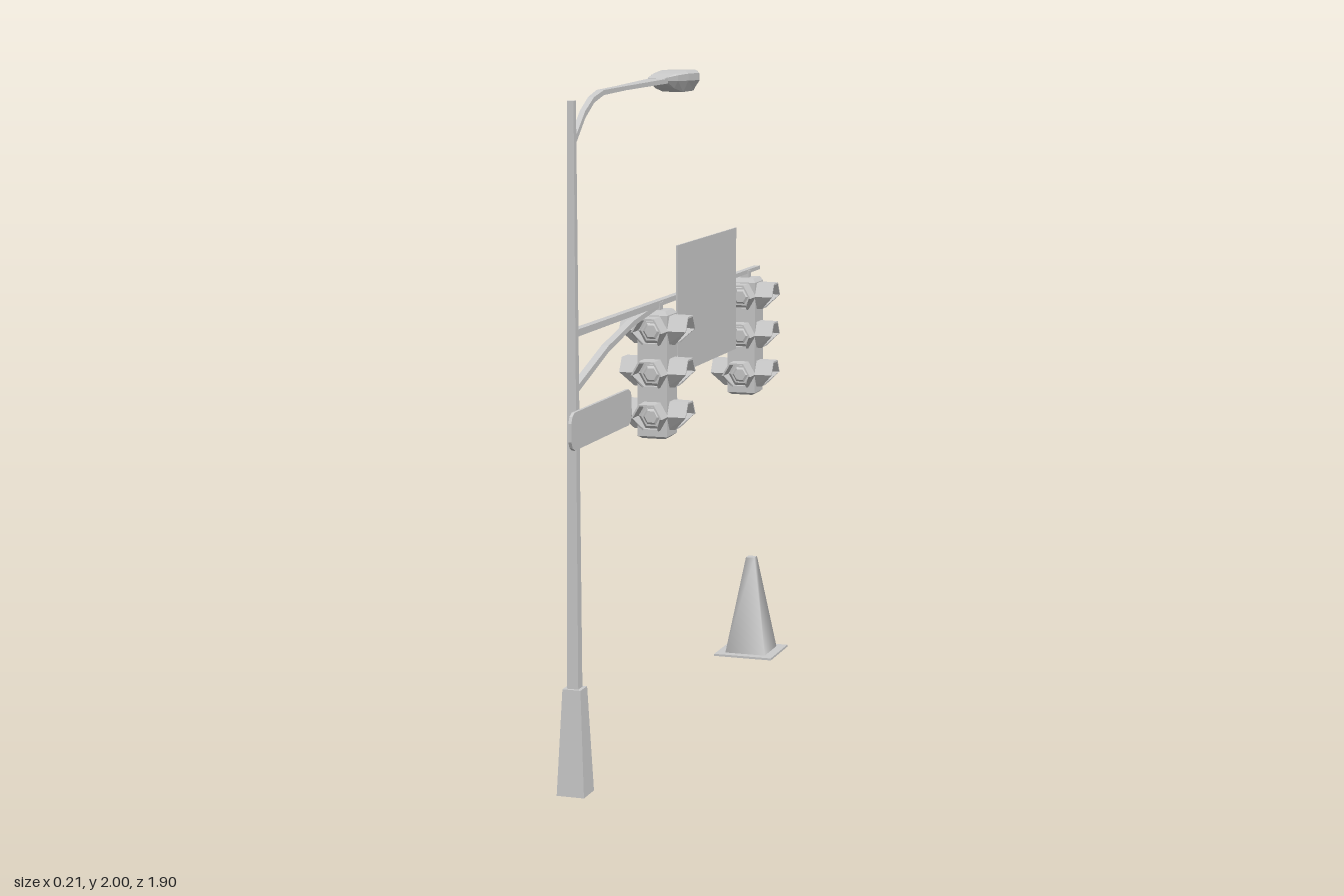
import * as THREE from 'three';

const grey = new THREE.MeshStandardMaterial({ color: 0xcccccc, side: THREE.DoubleSide });
grey.name = 'plainGrey';

function add(parent, name, geometry, x = 0, y = 0, z = 0) {
  const mesh = new THREE.Mesh(geometry, grey);
  mesh.name = name;
  mesh.position.set(x, y, z);
  parent.add(mesh);
  return mesh;
}

// Faceted skin through rings of [x, y, z] points, optionally closed at both ends
function loft(rings, capped = true) {
  const n = rings[0].length, index = [];
  for (let i = 0; i < rings.length - 1; i++) {
    for (let j = 0; j < n; j++) {
      const a = i * n + j, b = i * n + (j + 1) % n;
      index.push(a, b, a + n, b, b + n, a + n);
    }
  }
  if (capped) {
    const last = (rings.length - 1) * n;
    for (let j = 1; j < n - 1; j++) {
      index.push(0, j + 1, j, last, last + j, last + j + 1);
    }
  }
  const geometry = new THREE.BufferGeometry();
  geometry.setAttribute('position', new THREE.Float32BufferAttribute(rings.flat(2), 3));
  geometry.setIndex(index);
  const flat = geometry.toNonIndexed();
  flat.computeVertexNormals();
  return flat;
}

// Rectangular beam in the x = 0 plane; stations are [z, y, half width, half height]
const beam = (stations) => loft(stations.map(([z, y, w, h]) =>
  [[w, y - h, z], [w, y + h, z], [-w, y + h, z], [-w, y - h, z]]));

// Square tapered post
function post(bottom, top, height, smooth = false) {
  const g = new THREE.CylinderGeometry(top * Math.SQRT2, bottom * Math.SQRT2, height, 4, 1, false, Math.PI / 4);
  g.translate(0, height / 2, 0);
  if (smooth) return g;
  const flat = g.toNonIndexed();
  flat.computeVertexNormals();
  return flat;
}

// Hexagon in the xy plane; zOf gives the depth of each corner
function hexagon(radius, zOf) {
  return Array.from({ length: 6 }, (_, i) => {
    const a = i * Math.PI / 3;
    return [Math.cos(a) * radius, Math.sin(a) * radius, zOf(Math.sin(a))];
  });
}

// One lamp with its hood, facing +z
function createLamp() {
  const lamp = new THREE.Group();
  lamp.name = 'signalLamp';
  add(lamp, 'hood', loft([
    hexagon(0.05, () => 0.04),
    hexagon(0.049, (s) => (s < -0.1 ? 0.065 : 0.105)),
    hexagon(0.043, (s) => (s < -0.1 ? 0.065 : 0.105)),
    hexagon(0.043, () => 0.048),
  ], false));
  add(lamp, 'lens', loft([
    hexagon(0.044, () => 0.046),
    hexagon(0.033, () => 0.055),
    hexagon(0.027, () => 0.055),
    hexagon(0.02, () => 0.062),
  ]));
  return lamp;
}

// Hanging signal with three lamps on each of four sides
function createSignal(z) {
  const signal = new THREE.Group();
  signal.name = 'trafficSignal';
  signal.position.z = z;
  const body = [[0.905, 0.036], [0.913, 0.047], [1.28, 0.047], [1.293, 0.038]].map(([y, h]) =>
    [[h, y, h], [h, y, -h], [-h, y, -h], [-h, y, h]]);
  add(signal, 'signalBody', loft(body));
  add(signal, 'hanger', new THREE.BoxGeometry(0.028, 0.03, 0.028), 0, 1.3, 0);
  for (const y of [0.975, 1.105, 1.234]) {
    for (let side = 0; side < 4; side++) {
      const lamp = createLamp();
      lamp.position.y = y;
      lamp.rotation.y = side * Math.PI / 2;
      signal.add(lamp);
    }
  }
  return signal;
}

export function createModel() {
  const model = new THREE.Group();
  model.name = 'trafficLightPole';
  const poleZ = 0.862;

  // Pole and its flared foot
  add(model, 'poleBase', post(0.041, 0.027, 0.307), 0, 0, poleZ);
  add(model, 'pole', post(0.018, 0.0095, 1.95), 0, 0, poleZ);

  // Long arm and curved brace
  add(model, 'signalArm', beam([[poleZ, 1.312, 0.012, 0.01], [-0.9, 1.312, 0.01, 0.006]]));
  add(model, 'brace', beam([
    [0.86, 1.153, 0.011, 0.01], [0.6, 1.235, 0.011, 0.009],
    [0.38, 1.281, 0.011, 0.008], [0.25, 1.296, 0.011, 0.008], [0.13, 1.307, 0.01, 0.006],
  ]));

  // Street lamp arm, widening towards the head
  add(model, 'lampArm', beam([
    [0.862, 1.833, 0.008, 0.011], [0.776, 1.908, 0.008, 0.01], [0.707, 1.945, 0.009, 0.008],
    [0.633, 1.962, 0.011, 0.007], [0.46, 1.967, 0.015, 0.006], [0.13, 1.974, 0.03, 0.007],
  ]));

  // Street lamp head: stations are [z, half width, top y, rim y, bottom y, bottom half width]
  add(model, 'lampHead', loft([
    [0.14, 0.028, 1.981, 1.975, 1.968, 0.02], [0.07, 0.042, 1.994, 1.972, 1.95, 0.03],
    [-0.01, 0.048, 2, 1.97, 1.936, 0.032], [-0.11, 0.048, 1.999, 1.968, 1.936, 0.032],
    [-0.13, 0.045, 1.996, 1.966, 1.945, 0.03], [-0.143, 0.034, 1.988, 1.966, 1.952, 0.026],
  ].map(([z, w, top, rim, low, lw]) => [
    [lw, low, z], [w, rim, z], [w, (top + rim) / 2 + 0.006, z], [w * 0.82, top, z],
    [-w * 0.82, top, z], [-w, (top + rim) / 2 + 0.006, z], [-w, rim, z], [-lw, low, z],
  ])));

  // Large road sign
  add(model, 'roadSign', new THREE.BoxGeometry(0.005, 0.397, 0.605), 0.014, 1.2735, -0.304);

  // Street name plate with clipped corners
  const w = 0.249, h = 0.053;
  const corner = [[w, h - 0.027], [w - 0.009, h - 0.009], [w - 0.027, h]];
  const plate = [
    ...corner, ...corner.map(([x, y]) => [-x, y]).reverse(),
    ...corner.map(([x, y]) => [-x, -y]), ...corner.map(([x, y]) => [x, -y]).reverse(),
  ];
  const shape = new THREE.Shape(plate.map(([x, y]) => new THREE.Vector2(x, y)));
  const plateMesh = add(model, 'streetPlate',
    new THREE.ExtrudeGeometry(shape, { depth: 0.009, bevelEnabled: false }), 0.02, 1.049, 0.705);
  plateMesh.rotation.y = Math.PI / 2;

  // Two four-way signals
  model.add(createSignal(0.14), createSignal(-0.766));

  // Road cone
  add(model, 'conePlate', new THREE.BoxGeometry(0.2, 0.007, 0.2), 0, 0.0035, -0.848);
  add(model, 'cone', post(0.07, 0.015, 0.324, true), 0, 0.006, -0.848);

  return model;
}
